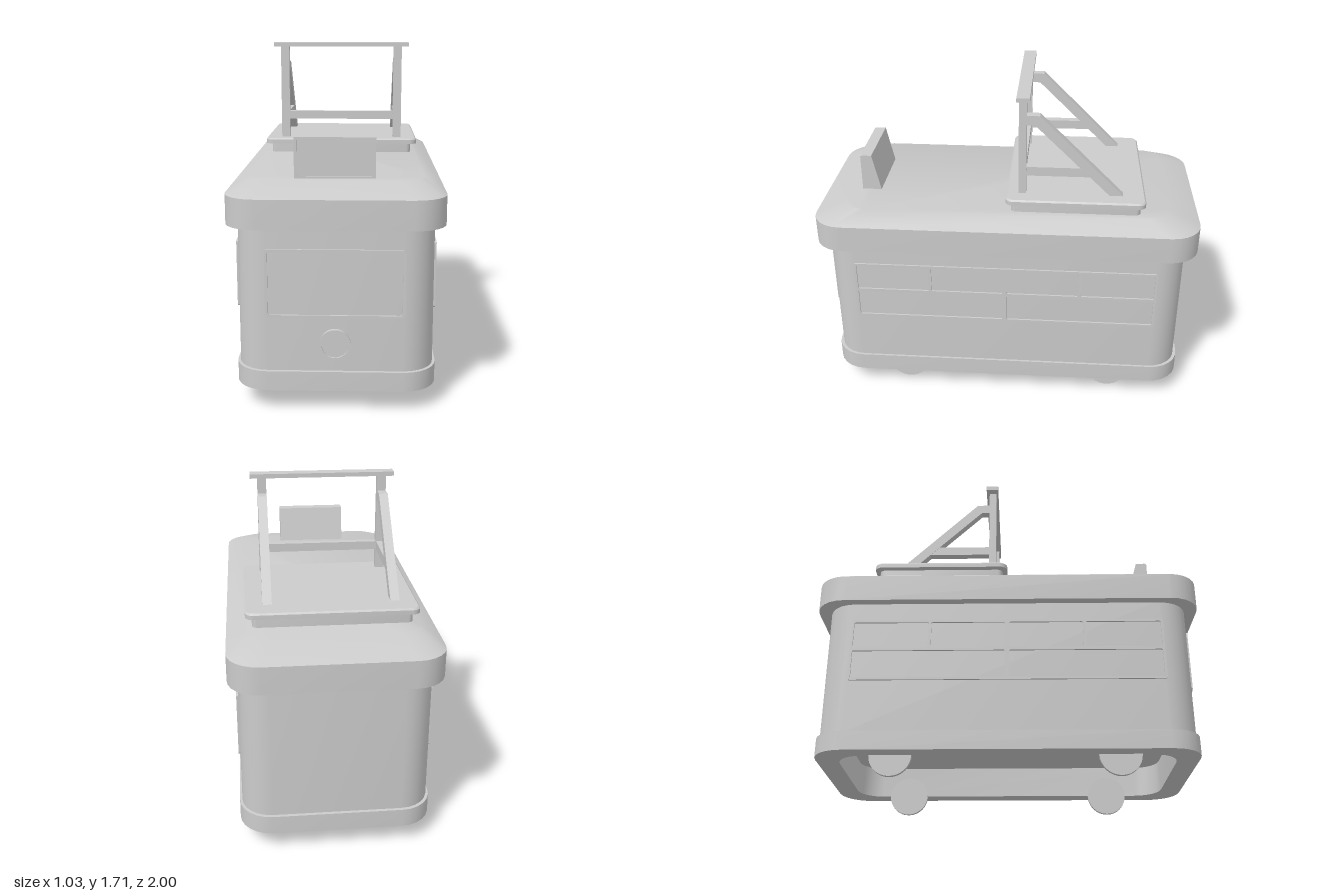
import * as THREE from 'three';
import { toCreasedNormals } from 'three/addons/utils/BufferGeometryUtils.js';

const material = new THREE.MeshStandardMaterial({ color: 0xcccccc });

function add(parent, name, geometry, x = 0, y = 0, z = 0) {
  const mesh = new THREE.Mesh(geometry, material);
  mesh.name = name;
  mesh.position.set(x, y, z);
  parent.add(mesh);
  return mesh;
}

// Capped solid through rounded-rectangle sections [halfX, halfZ, radius, y]
function loft(sections, steps = 6) {
  const positions = [], index = [], n = 4 * (steps + 1);
  for (const [hx, hz, r, y] of sections) {
    for (let c = 0; c < 4; c++) {
      const sx = c === 0 || c === 3 ? 1 : -1, sz = c < 2 ? 1 : -1;
      for (let i = 0; i <= steps; i++) {
        const a = (c + i / steps) * Math.PI / 2;
        positions.push(sx * (hx - r) + r * Math.cos(a), y, sz * (hz - r) + r * Math.sin(a));
      }
    }
  }
  const last = sections.length - 1;
  for (let s = 0; s < last; s++) {
    for (let i = 0; i < n; i++) {
      const j = (i + 1) % n, p = s * n, q = p + n;
      index.push(p + i, q + i, p + j, q + i, q + j, p + j);
    }
  }
  for (let i = 1; i < n - 1; i++) {
    index.push(0, i, i + 1, last * n, last * n + i + 1, last * n + i);
  }
  const geometry = new THREE.BufferGeometry();
  geometry.setAttribute('position', new THREE.Float32BufferAttribute(positions, 3));
  geometry.setIndex(index);
  return toCreasedNormals(geometry, 0.6);
}

// Rounded rectangle drawn into a Shape or Path
function roundRect(path, x0, y0, x1, y1, r) {
  path.moveTo(x0 + r, y0);
  path.lineTo(x1 - r, y0);
  path.quadraticCurveTo(x1, y0, x1, y0 + r);
  path.lineTo(x1, y1 - r);
  path.quadraticCurveTo(x1, y1, x1 - r, y1);
  path.lineTo(x0 + r, y1);
  path.quadraticCurveTo(x0, y1, x0, y1 - r);
  path.lineTo(x0, y0 + r);
  path.quadraticCurveTo(x0, y0, x0 + r, y0);
  return path;
}

// Thin frame with window openings, each given as [x0, y0, x1, y1]
function frame(outer, openings, depth, r = 0.012) {
  const shape = roundRect(new THREE.Shape(), ...outer, r);
  for (const o of openings) shape.holes.push(roundRect(new THREE.Path(), ...o, r * 0.6));
  return new THREE.ExtrudeGeometry(shape, { depth, bevelEnabled: false, curveSegments: 4 });
}

// Side profile given as [z, y] points, extruded to a width centred on x = 0
function sideProfile(points, width) {
  const shape = new THREE.Shape(points.map(([z, y]) => new THREE.Vector2(z, y)));
  return new THREE.ExtrudeGeometry(shape, { depth: width, bevelEnabled: false })
    .translate(0, 0, -width / 2)
    .rotateY(-Math.PI / 2);
}

export function createModel() {
  const model = new THREE.Group();
  model.name = 'tram';

  // Body with a skirt and a deep hollow underneath, then the bevelled roof
  add(model, 'body', loft([
    [0.385, 0.845, 0.13, 0.27], [0.385, 0.845, 0.13, 0.106], [0.48, 0.956, 0.16, 0.106],
    [0.48, 0.956, 0.16, 0.202], [0.468, 0.939, 0.15, 0.202], [0.468, 0.939, 0.15, 0.91],
  ]));
  add(model, 'roof', loft([
    [0.517, 1, 0.16, 0.899], [0.517, 1, 0.16, 1.04], [0.42, 0.843, 0.11, 1.098],
  ]));

  // Wheels
  for (const x of [-0.386, 0.386]) {
    for (const z of [0.553, -0.573]) {
      add(model, 'wheel', new THREE.CylinderGeometry(0.105, 0.105, 0.02, 32).rotateZ(Math.PI / 2), x, 0.105, z);
    }
  }

  // Side windows: four small panes above two long ones
  const panes = [];
  for (const s of [-1, 1]) {
    for (const [a, b, y0, y1] of [[0.012, 0.785, 0.482, 0.63], [0.012, 0.388, 0.646, 0.788], [0.403, 0.785, 0.646, 0.788]]) {
      panes.push([Math.min(s * a, s * b), y0, Math.max(s * a, s * b), y1]);
    }
  }
  for (const s of [-1, 1]) {
    const windows = add(model, 'sideWindowFrame', frame([-0.797, 0.47, 0.797, 0.8], panes, 0.016), s * 0.461);
    windows.rotation.y = s * Math.PI / 2;
  }

  // Windscreen frame and headlamp
  add(model, 'windscreenFrame', frame([-0.327, 0.466, 0.327, 0.796], [[-0.314, 0.479, 0.314, 0.783]], 0.016, 0.02), 0, 0, 0.932);
  const lampProfile = [[0.071, 0], [0.068, 0.02], [0.075, 0.024], [0.075, 0.033], [0.063, 0.033], [0.063, 0.023], [0, 0.023]]
    .map(([r, y]) => new THREE.Vector2(r, y));
  const lamp = new THREE.LatheGeometry(lampProfile, 40).rotateX(Math.PI / 2);
  add(model, 'headlamp', toCreasedNormals(lamp, 0.4), 0, 0.341, 0.937);

  // Wedge-shaped destination board with a framed face
  const board = new THREE.Group();
  board.name = 'destinationBoard';
  model.add(board);
  add(board, 'boardBody', sideProfile([[0.682, 1.09], [0.776, 1.09], [0.776, 1.293], [0.726, 1.293]], 0.385), -0.006);
  add(board, 'boardFrame', frame([-0.1985, 1.095, 0.1865, 1.293], [[-0.186, 1.108, 0.174, 1.281]], 0.011, 0.004), 0, 0, 0.774);

  // Roof platform
  add(model, 'platformBase', loft([[0.39, 0.332, 0.03, 1.09], [0.39, 0.332, 0.03, 1.155]]), 0, 0, -0.358);
  add(model, 'platform', loft([
    [0.422, 0.356, 0.04, 1.148], [0.422, 0.356, 0.04, 1.17], [0.414, 0.348, 0.035, 1.178],
  ]), 0, 0, -0.357);

  // Current collector: posts, sloping braces and cross bars
  const collector = new THREE.Group();
  collector.name = 'currentCollector';
  model.add(collector);
  for (const s of [-1, 1]) {
    const x = s * 0.313;
    add(collector, 'post', new THREE.BoxGeometry(0.046, 0.515, 0.039), x, 1.432, -0.083);
    add(collector, 'brace', sideProfile([
      [-0.09, 1.602], [-0.09, 1.552], [-0.145, 1.552], [-0.535, 1.172], [-0.604, 1.172], [-0.168, 1.602],
    ], 0.046), x);
    add(collector, 'sideRail', sideProfile([[-0.09, 1.326], [-0.09, 1.278], [-0.445, 1.278], [-0.398, 1.326]], 0.042), x);
  }
  add(collector, 'crossBar', new THREE.BoxGeometry(0.6, 0.044, 0.035), 0, 1.303, -0.083);
  add(collector, 'topBar', new THREE.BoxGeometry(0.748, 0.022, 0.066), 0, 1.695, -0.086);

  return model;
}
